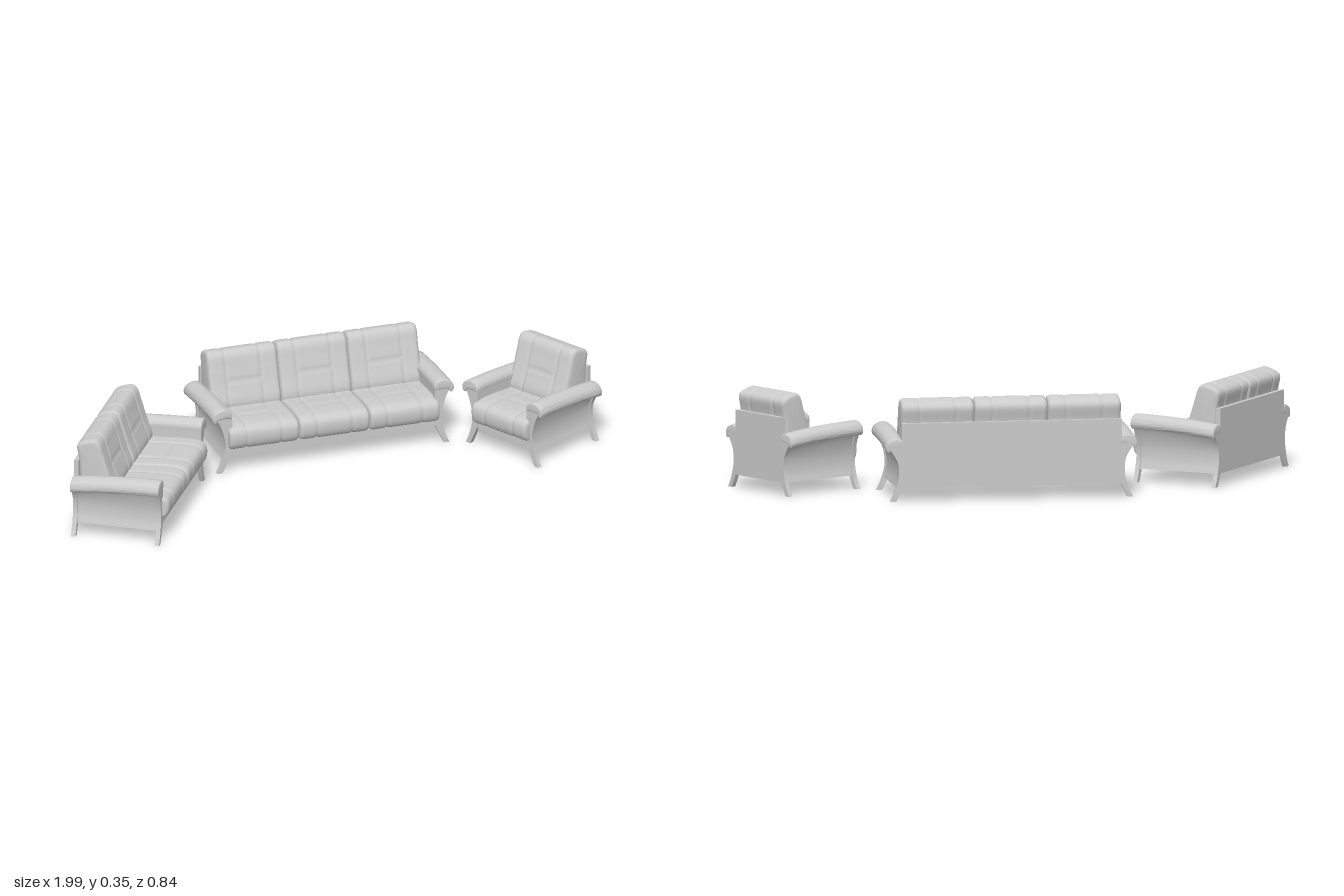
import * as THREE from 'three';
import { toCreasedNormals } from 'three/addons/utils/BufferGeometryUtils.js';

const material = new THREE.MeshStandardMaterial({ color: 0xcccccc });
const SEAT_W = 0.255; // width of one seat
const BACK = -0.158, FRONT = 0.158; // depth range of the arms

function add(parent, name, geometry, x = 0, y = 0, z = 0) {
  const mesh = new THREE.Mesh(geometry, material);
  mesh.name = name;
  mesh.position.set(x, y, z);
  parent.add(mesh);
  return mesh;
}

// Padded cushion: closed [z, y] profile swept along x, with rounded ends and sewn seams.
// isCross(z, y) gives the distance to the cross seam of the middle panel.
function cushionGeometry(profile, crossDistance) {
  const N = 48, M = 64, half = SEAT_W / 2;
  const curve = new THREE.CatmullRomCurve3(
    profile.map(([z, y]) => new THREE.Vector3(z, y, 0)), true, 'centripetal');
  const ring = [];
  for (let j = 0; j < M; j++) {
    const p = curve.getPointAt(j / M), t = curve.getTangentAt(j / M);
    ring.push({ z: p.x, y: p.y, nz: t.y, ny: -t.x });
  }
  const groove = (d) => 0.005 * Math.exp(-((d / 0.004) ** 2));
  const position = [], index = [];
  for (let i = 0; i <= N; i++) {
    const x = -half * Math.cos((i / N) * Math.PI) * 0.35 + half * (2 * i / N - 1) * 0.65;
    const edge = Math.max(0, 1 - (half - Math.abs(x)) / 0.016);
    const round = 0.014 * (1 - Math.sqrt(Math.max(0, 1 - edge * edge)));
    const side = groove(Math.abs(x) - half * 0.5);
    for (const p of ring) {
      const cross = Math.abs(x) < half * 0.5 ? groove(crossDistance(p.z, p.y)) : 0;
      const inset = round + Math.max(side, cross);
      position.push(x, p.y - p.ny * inset, p.z - p.nz * inset);
    }
  }
  for (let i = 0; i < N; i++) {
    for (let j = 0; j < M; j++) {
      const k = (j + 1) % M, a = i * M + j, b = i * M + k;
      index.push(a, a + M, b + M, a, b + M, b);
    }
  }
  // end caps
  const cz = ring.reduce((s, p) => s + p.z, 0) / M, cy = ring.reduce((s, p) => s + p.y, 0) / M;
  const c = position.length / 3;
  position.push(-half, cy, cz, half, cy, cz);
  for (let j = 0; j < M; j++) {
    const k = (j + 1) % M;
    index.push(c, j, k, c + 1, N * M + k, N * M + j);
  }
  const g = new THREE.BufferGeometry();
  g.setAttribute('position', new THREE.Float32BufferAttribute(position, 3));
  g.setIndex(index);
  g.computeVertexNormals();
  return g;
}

const seatGeometry = cushionGeometry([
  [0.16, 0.088], [0.173, 0.1], [0.179, 0.13], [0.174, 0.155], [0.155, 0.167],
  [0.08, 0.17], [0, 0.164], [-0.08, 0.16], [-0.085, 0.09], [0.04, 0.086],
], (z, y) => (y > 0.13 ? z - 0.07 : 1));

const backGeometry = cushionGeometry([
  [-0.025, 0.145], [-0.016, 0.17], [-0.037, 0.235], [-0.056, 0.295], [-0.07, 0.336],
  [-0.086, 0.349], [-0.115, 0.344], [-0.142, 0.332], [-0.15, 0.32], [-0.142, 0.27],
  [-0.138, 0.2], [-0.13, 0.145],
], (z, y) => (z > -0.08 ? y - 0.25 : 1));

// Arm outlines as [outward offset, height] from the seat edge
const frameOuter = [[0.04, 0], [0.025, 0.03], [0.011, 0.08], [0.012, 0.125], [0.027, 0.175], [0.046, 0.208]];
const frameInner = [[-0.015, 0.208], [-0.015, 0.14], [-0.014, 0.08], [0.003, 0.035], [0.02, 0]];
const panelOuter = [[0.015, 0.045], [0.007, 0.08], [0.008, 0.125], [0.022, 0.175], [0.04, 0.205]];
const panelInner = [[-0.012, 0.205], [-0.012, 0.045]];
const capOutline = [[-0.015, 0.2], [-0.014, 0.219], [0.004, 0.234], [0.026, 0.235], [0.047, 0.224],
  [0.055, 0.207], [0.052, 0.192], [0.043, 0.188], [0.034, 0.199], [0.01, 0.202]];

const spline = (points, side, n) =>
  new THREE.SplineCurve(points.map(([x, y]) => new THREE.Vector2(x * side, y))).getPoints(n);

function extrude(points, depth, bevel = 0) {
  return new THREE.ExtrudeGeometry(new THREE.Shape(points), {
    depth: depth - 2 * bevel, steps: 10, bevelEnabled: bevel > 0, bevelSize: bevel,
    bevelThickness: bevel, bevelOffset: -bevel, bevelSegments: 3,
  }).translate(0, 0, bevel);
}

function buildArm(side) {
  const arm = new THREE.Group();
  arm.name = side > 0 ? 'leftArm' : 'rightArm';
  const frame = [...spline(frameOuter, side, 20), ...spline(frameInner, side, 20)];
  const panel = [...spline(panelOuter, side, 16), ...spline(panelInner, side, 1)];
  add(arm, 'frontLegFrame', toCreasedNormals(extrude(frame, 0.016), 0.6), 0, 0, FRONT - 0.018);
  const droop = (g, z0) => { // the arm sinks gently towards the back
    const p = g.attributes.position;
    for (let i = 0; i < p.count; i++) {
      const t = (FRONT - p.getZ(i) - z0) / (FRONT - BACK), y = p.getY(i);
      p.setY(i, y - 0.02 * t * t * THREE.MathUtils.smoothstep(y, 0.12, 0.2));
    }
    return toCreasedNormals(g, 0.6);
  };
  add(arm, 'backLegFrame', droop(extrude(frame, 0.016), BACK), 0, 0, BACK);
  add(arm, 'sidePanel', droop(extrude(panel, 0.29), BACK + 0.01), 0, 0, BACK + 0.01);
  // padded arm top
  const cap = new THREE.SplineCurve([...capOutline, capOutline[0]]
    .map(([x, y]) => new THREE.Vector2(x * side, y))).getPoints(40).slice(0, -1);
  add(arm, 'armPad', droop(extrude(cap, FRONT - BACK, 0.004), BACK), 0, 0, BACK);
  return arm;
}

// A seat unit with any number of places
function buildSofa(name, seats) {
  const sofa = new THREE.Group();
  sofa.name = name;
  const w = seats * SEAT_W;
  add(sofa, 'base', new THREE.BoxGeometry(w, 0.045, 0.3), 0, 0.0675, -0.008);
  add(sofa, 'frontRail', new THREE.BoxGeometry(w, 0.022, 0.012), 0, 0.077, 0.147);
  add(sofa, 'backPanel', new THREE.BoxGeometry(w, 0.225, 0.016), 0, 0.1575, BACK + 0.008);
  for (let i = 0; i < seats; i++) {
    const x = (i - (seats - 1) / 2) * SEAT_W;
    add(sofa, 'seatCushion', seatGeometry, x);
    add(sofa, 'backCushion', backGeometry, x);
  }
  for (const side of [-1, 1]) {
    const arm = buildArm(side);
    arm.position.x = side * w / 2;
    sofa.add(arm);
  }
  return sofa;
}

export function createModel() {
  const model = new THREE.Group();
  model.name = 'livingRoomSuite';
  const units = [
    ['threeSeatSofa', 3, 0.078, -0.262, 0],
    ['twoSeatSofa', 2, -0.692, 0.073, 55.5],
    ['armchair', 1, 0.77, -0.02, -60.5],
  ];
  for (const [name, seats, x, z, angle] of units) {
    const unit = buildSofa(name, seats);
    unit.position.set(x, 0, z);
    unit.rotation.y = THREE.MathUtils.degToRad(angle);
    model.add(unit);
  }
  return model;
}
